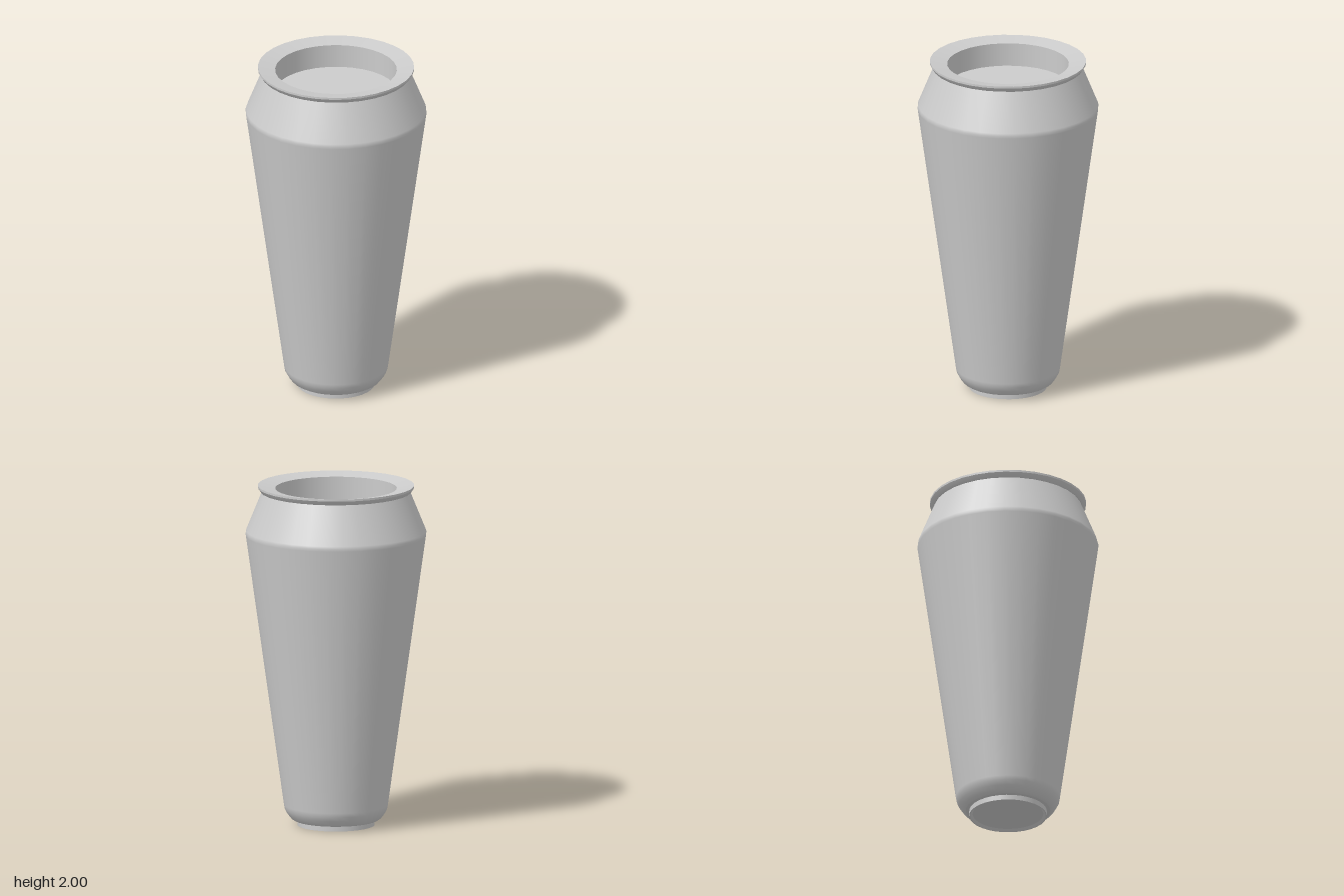
import * as THREE from 'three';

const SEGMENTS = 32;

export function createModel() {
  const group = new THREE.Group();
  group.name = 'taperedCan';
  const material = new THREE.MeshStandardMaterial({ color: 0xcccccc });

  // Revolves a [radius, height] profile; each mesh is smooth within itself
  const addRing = (name, profile) => {
    const points = profile.map(([r, y]) => new THREE.Vector2(r, y));
    const mesh = new THREE.Mesh(new THREE.LatheGeometry(points, SEGMENTS), material);
    mesh.name = name;
    group.add(mesh);
  };

  // Base: recessed disc inside a small foot ring
  addRing('baseDisc', [[0, 0.012], [0.205, 0.012]]);
  addRing('footInnerEdge', [[0.205, 0.012], [0.218, 0]]);
  addRing('footUnderside', [[0.218, 0], [0.225, 0]]);
  addRing('footWall', [[0.225, 0], [0.225, 0.03]]);

  // Body: rounded heel, long flaring wall, then the shoulder
  addRing('heelUnderside', [[0.225, 0.03], [0.245, 0.032]]);
  addRing('body', [
    [0.245, 0.032], [0.262, 0.042], [0.282, 0.068], [0.297, 0.095], [0.302, 0.12],
    [0.523, 1.705], [0.525, 1.72], [0.521, 1.735], [0.428, 1.963],
  ]);

  // Rim: flared lip, thin outer edge and a gently dished top
  addRing('rimFlare', [[0.428, 1.963], [0.436, 1.963], [0.453, 1.988]]);
  addRing('rimEdge', [[0.453, 1.988], [0.453, 2]]);
  addRing('rimTop', [[0.453, 2], [0.353, 1.982]]);

  // Recessed lid
  addRing('lidWall', [[0.353, 1.982], [0.353, 1.845]]);
  addRing('lidPanel', [[0.353, 1.845], [0, 1.845]]);

  return group;
}
